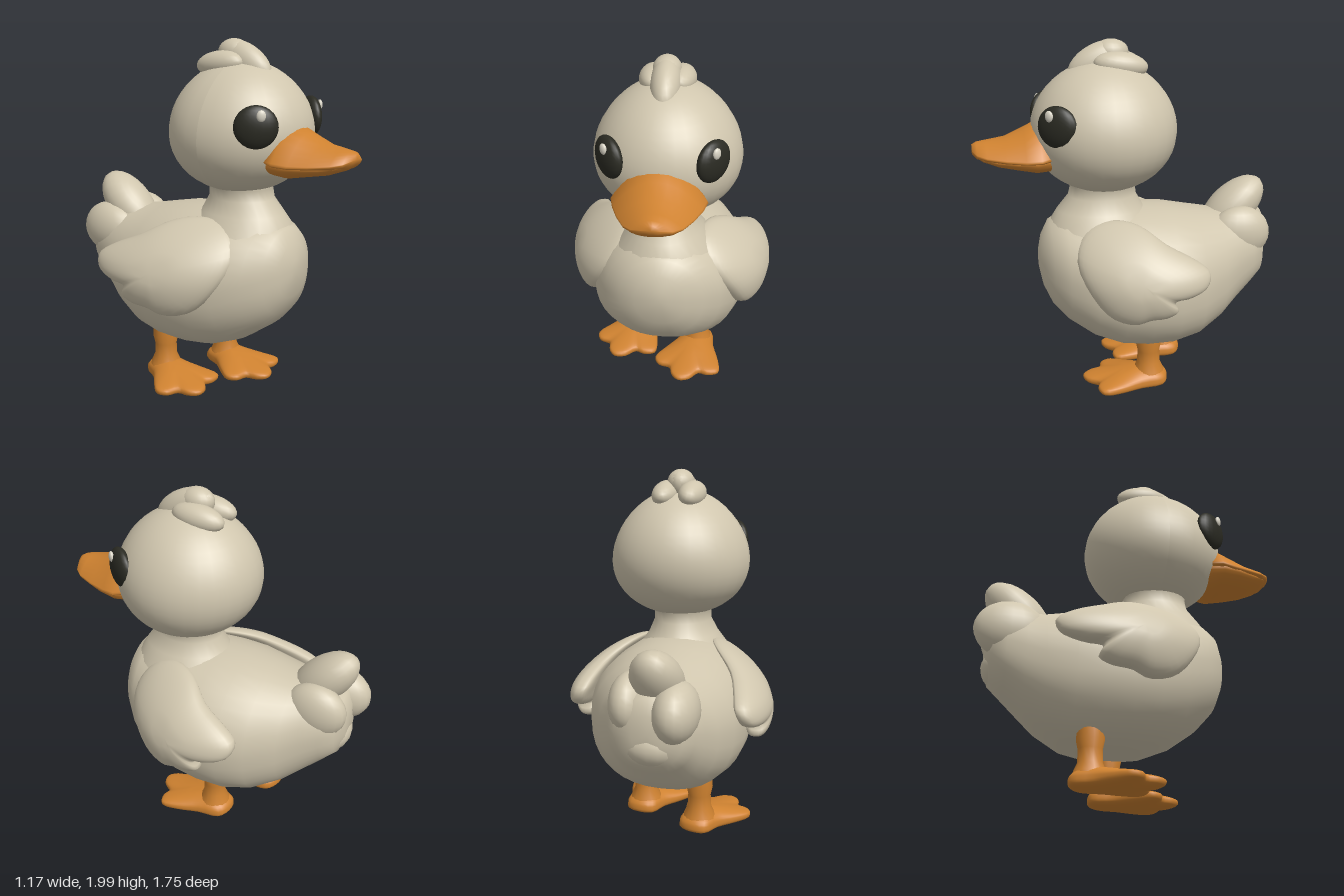
import * as THREE from 'three';

const mat = (name, color) => {
  const m = new THREE.MeshStandardMaterial({ color });
  m.name = name;
  return m;
};

// Signed power, used to square off round sections.
const spow = (v, p) => Math.sign(v) * Math.abs(v) ** p;

// Skins a list of equal-length rings into a smooth closed solid, facing outward.
function skin(rings) {
  const n = rings[0].length, pos = [], idx = [];
  rings.forEach(r => r.forEach(p => pos.push(...p)));
  for (let i = 0; i < rings.length - 1; i++)
    for (let j = 0; j < n; j++) {
      const a = i * n + j, b = i * n + (j + 1) % n;
      idx.push(a, b, a + n, b, b + n, a + n);
    }
  const cap = (ring, start, flip) => {
    const c = pos.length / 3;
    pos.push(...[0, 1, 2].map(k => ring.reduce((s, p) => s + p[k], 0) / n));
    for (let j = 0; j < n; j++) {
      const a = start + j, b = start + (j + 1) % n;
      idx.push(c, ...(flip ? [b, a] : [a, b]));
    }
  };
  cap(rings[0], 0, true);
  cap(rings[rings.length - 1], (rings.length - 1) * n, false);
  // The sign of the volume tells whether the faces point inward.
  const v = i => new THREE.Vector3().fromArray(pos, i * 3);
  let vol = 0;
  for (let i = 0; i < idx.length; i += 3) vol += v(idx[i]).dot(v(idx[i + 1]).cross(v(idx[i + 2])));
  if (vol < 0) idx.reverse();
  const g = new THREE.BufferGeometry();
  g.setAttribute('position', new THREE.Float32BufferAttribute(pos, 3));
  g.setIndex(idx);
  g.computeVertexNormals();
  return g;
}

const ring = (n, f) => Array.from({ length: n }, (_, j) => f(j / n * Math.PI * 2));

// A plump cushion with a smooth outline; place(a, b, h) maps it to space, h from 1 to -1.
function cushion(outline, [ca, cb], place) {
  const curve = new THREE.CatmullRomCurve3(outline.map(([a, b]) => new THREE.Vector3(a, b, 0)), true);
  const pts = curve.getPoints(48).slice(0, 48);
  const rings = [];
  for (let i = 1; i < 20; i++) {
    const phi = i / 20 * Math.PI, t = Math.sin(phi) ** 0.75, h = spow(Math.cos(phi), 0.7);
    rings.push(pts.map(p => place(ca + (p.x - ca) * t, cb + (p.y - cb) * t, h)));
  }
  return skin(rings);
}

export function createModel() {
  const model = new THREE.Group();
  model.name = 'duckling';
  const down = mat('cream down', 0xd0c6ae);
  const orange = mat('orange', 0xcf8230);
  const dark = mat('eye black', 0x2b2b23);
  const glint = mat('eye glint', 0xdad5c6);

  const add = (name, geo, m, parent = model) => {
    const mesh = new THREE.Mesh(geo, m);
    mesh.name = name;
    parent.add(mesh);
    return mesh;
  };
  const blob = (name, m, p, r, rot = [0, 0, 0]) => {
    const mesh = add(name, new THREE.SphereGeometry(1, 20, 14), m);
    mesh.position.set(...p);
    mesh.scale.set(...r);
    mesh.rotation.set(...rot);
  };

  // Body: z, top, bottom, half width, x offset; fuller below
  const body = [
    [0.535, 0.84, 0.72, 0.05, 0], [0.515, 0.92, 0.62, 0.14, 0], [0.47, 1.0, 0.52, 0.23, 0],
    [0.39, 1.04, 0.43, 0.32, 0], [0.25, 1.06, 0.33, 0.4, 0], [0.1, 1.07, 0.27, 0.44, 0],
    [-0.05, 1.07, 0.25, 0.455, 0], [-0.2, 1.06, 0.25, 0.45, 0], [-0.35, 1.03, 0.275, 0.405, -0.01],
    [-0.5, 1.0, 0.35, 0.33, -0.03], [-0.6, 1.0, 0.43, 0.27, -0.045], [-0.7, 0.98, 0.52, 0.23, -0.055],
    [-0.77, 0.94, 0.58, 0.18, -0.06], [-0.8, 0.86, 0.66, 0.08, -0.06]];
  add('body', skin(body.map(([z, top, low, w, x]) => ring(36, a => {
    const p = Math.sin(a) < 0 ? 0.85 : 1;
    return [x + w * spow(Math.cos(a), p), (top + low) / 2 + (top - low) / 2 * spow(Math.sin(a), p), z];
  }))), down);

  // Neck: y, half width, front z, back z
  const neck = [[1.3, 0.2, 0.37, -0.06], [1.2, 0.165, 0.345, -0.02], [1.14, 0.165, 0.36, -0.025],
    [1.06, 0.2, 0.425, -0.07], [0.97, 0.27, 0.48, -0.14], [0.85, 0.33, 0.515, -0.2], [0.7, 0.3, 0.48, -0.15]];
  add('neck', skin(neck.map(([y, w, f, b]) => ring(28, a => [
    w * Math.cos(a), y, (f + b) / 2 + (f - b) / 2 * Math.sin(a)]))), down);

  // Head: a sphere fuller at the cheeks
  const headGeo = new THREE.SphereGeometry(1, 32, 24);
  const hp = headGeo.attributes.position;
  for (let i = 0; i < hp.count; i++) {
    const y = hp.getY(i);
    hp.setXYZ(i, hp.getX(i) * 0.392 * (1 - 0.13 * y), y * 0.36, hp.getZ(i) * 0.405 * (1 - 0.06 * y));
  }
  headGeo.computeVertexNormals();
  add('head', headGeo, down).position.set(0.01, 1.53, 0.155);

  // Tuft on the crown
  blob('frontTuft', down, [0, 1.875, 0.18], [0.08, 0.1, 0.18], [0.45, 0, 0]);
  blob('tuftTip', down, [0, 1.925, 0.11], [0.075, 0.073, 0.095]);
  for (const s of [-1, 1])
    blob(s > 0 ? 'leftTuft' : 'rightTuft', down, [s * 0.075, 1.865, 0.07], [0.075, 0.07, 0.15], [-0.12, 0, -s * 0.25]);

  // Tail feathers growing out of the rump
  blob('tailTop', down, [-0.07, 0.99, -0.63], [0.14, 0.125, 0.235], [0.75, 0, 0]);
  blob('tailRight', down, [-0.18, 0.85, -0.68], [0.12, 0.16, 0.195]);
  blob('tailLeft', down, [0.075, 0.87, -0.635], [0.105, 0.16, 0.18]);
  blob('tailLow', down, [-0.06, 0.67, -0.64], [0.19, 0.13, 0.175]);

  // Wings: outline in z and y, bent around the body
  const wing = [[0.36, 0.85], [0.33, 0.95], [0.25, 1.02], [0.12, 1.045], [0, 1.02], [-0.12, 0.94],
    [-0.27, 0.86], [-0.335, 0.8], [-0.315, 0.73], [-0.22, 0.685], [-0.13, 0.67], [-0.15, 0.61],
    [-0.09, 0.575], [0, 0.565], [0.08, 0.535], [0.2, 0.57], [0.3, 0.69]];
  for (const s of [1, -1]) {
    const geo = cushion(wing, [0.06, 0.79], (z, y, h) => {
      const d = y - 0.7, e = z + 0.1;
      const x = 0.515 - (d > 0 ? 2.1 : 0.8) * d * d - (e > 0 ? 0.8 : 0.5) * e * e;
      return [s * (x + 0.08 * h), y, s > 0 ? z : z * 1.17 - 0.09];
    });
    add(s > 0 ? 'leftWing' : 'rightWing', geo, down);
  }

  // Bill halves: z, half width, edge height, rise, drop
  const bill = (name, rows, power) => add(name, skin(rows.map(([z, w, y, up, low]) => ring(28, a => {
    const s = Math.sin(a);
    return [w * Math.cos(a), y + (s > 0 ? up * s ** power : low * s), z];
  }))), orange);
  bill('upperBill', [[0.44, 0.21, 1.4, 0.17, 0.03], [0.52, 0.245, 1.39, 0.185, 0.03],
    [0.6, 0.225, 1.385, 0.15, 0.03], [0.7, 0.19, 1.39, 0.1, 0.03], [0.8, 0.145, 1.4, 0.075, 0.03],
    [0.85, 0.1, 1.41, 0.058, 0.03], [0.875, 0.045, 1.425, 0.03, 0.02]], 1.9);
  bill('lowerBill', [[0.42, 0.19, 1.38, 0.02, 0.08], [0.54, 0.225, 1.38, 0.02, 0.085],
    [0.64, 0.2, 1.378, 0.02, 0.062], [0.74, 0.155, 1.38, 0.02, 0.045],
    [0.82, 0.11, 1.39, 0.01, 0.025], [0.85, 0.06, 1.395, 0.01, 0.01]], 1);

  // Eyes
  for (const s of [-1, 1]) {
    const side = s > 0 ? 'left' : 'right';
    blob(side + 'Eye', dark, [s * 0.26, 1.58, 0.44], [0.115, 0.112, 0.05], [0, s * 0.92, 0]);
    blob(side + 'EyeGlint', glint, [s * 0.278, 1.642, 0.485], [0.024, 0.03, 0.014], [0, s * 0.8, 0]);
  }

  // Legs and webbed feet: x, z, turn
  const foot = [[-0.08, -0.085], [0, -0.11], [0.08, -0.085], [0.12, 0.04], [0.18, 0.17], [0.2, 0.26],
    [0.14, 0.295], [0.085, 0.29], [0.04, 0.36], [-0.02, 0.385], [-0.07, 0.35], [-0.1, 0.29],
    [-0.17, 0.28], [-0.205, 0.23], [-0.17, 0.14], [-0.11, 0.03]];
  const footGeo = cushion(foot, [0, 0.1], (x, z, h) => [
    x, 0.045 + h * (h > 0 ? 0.03 + 0.055 * Math.exp(-((z / 0.22) ** 2) - (x / 0.15) ** 2) : 0.04), z]);
  const legGeo = new THREE.LatheGeometry(
    [[0.1, 0.05], [0.088, 0.1], [0.066, 0.15], [0.064, 0.22], [0.075, 0.27], [0.07, 0.36]]
      .map(p => new THREE.Vector2(...p)), 16);
  for (const [side, x, z, turn] of [['left', 0.165, -0.07, -0.17], ['right', -0.2, -0.24, -0.3]]) {
    const leg = new THREE.Group();
    leg.name = side + 'Leg';
    leg.position.set(x, 0, z);
    leg.rotation.y = turn;
    add(side + 'Shin', legGeo, orange, leg);
    add(side + 'Foot', footGeo, orange, leg);
    model.add(leg);
  }
  return model;
}
